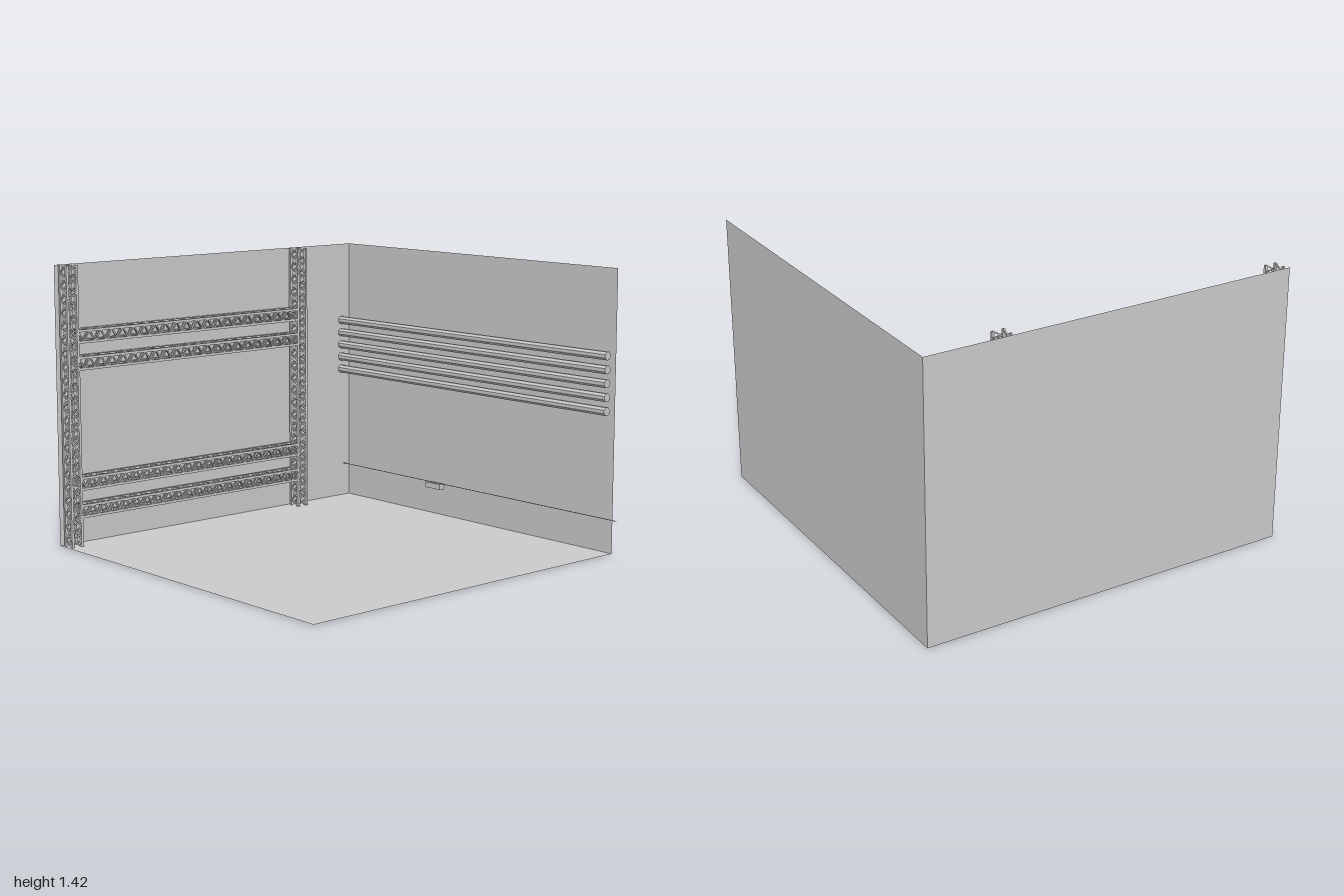
import * as THREE from 'three';
import { mergeGeometries } from 'three/addons/utils/BufferGeometryUtils.js';

const W0 = -1, W1 = 0.94, D = 0.97, H = 1.41;
const TRUSS_X = -0.951, HALF = 0.028, CHORD = 0.013, BRACE = 0.007;

const mat = new THREE.MeshStandardMaterial({ color: 0xcccccc, flatShading: true });
const sheetMat = new THREE.MeshStandardMaterial({ color: 0xcccccc, side: THREE.DoubleSide });

// Square bar between two points
function bar(a, b, size) {
  const dir = b.clone().sub(a);
  const q = new THREE.Quaternion().setFromUnitVectors(new THREE.Vector3(0, 1, 0), dir.clone().normalize());
  const mid = a.clone().add(b).multiplyScalar(0.5);
  return new THREE.BoxGeometry(size, dir.length(), size).applyQuaternion(q).translate(mid.x, mid.y, mid.z);
}

// Box truss along +y: four chords, with zigzag bracing on each side
function trussGeometry(length, bays) {
  const parts = [];
  const corners = [[-1, -1], [1, -1], [1, 1], [-1, 1]].map(([x, z]) => [x * HALF, z * HALF]);
  const at = ([x, z], y) => new THREE.Vector3(x, y, z);
  const step = length / (bays * 2);
  corners.forEach((c, i) => {
    const next = corners[(i + 1) % 4];
    parts.push(new THREE.BoxGeometry(CHORD, length, CHORD).translate(c[0], length / 2, c[1]));
    for (let k = 0; k < bays * 2; k++) {
      const [from, to] = k % 2 ? [next, c] : [c, next];
      parts.push(bar(at(from, k * step), at(to, (k + 1) * step), BRACE));
    }
  });
  return mergeGeometries(parts);
}

export function createModel() {
  const model = new THREE.Group();
  const add = (name, geometry, x, y, z, material = mat) => {
    const mesh = new THREE.Mesh(geometry, material);
    mesh.name = name;
    mesh.position.set(x, y, z);
    model.add(mesh);
    return mesh;
  };
  const midX = (W0 + W1) / 2, width = W1 - W0;

  // Floor and two walls
  add('floor', new THREE.PlaneGeometry(width, 2 * D).rotateX(-Math.PI / 2), midX, 0, 0, sheetMat);
  add('backWall', new THREE.PlaneGeometry(width, H), midX, H / 2, -D, sheetMat);
  add('sideWall', new THREE.PlaneGeometry(2 * D, H).rotateY(Math.PI / 2), W0, H / 2, 0, sheetMat);

  // Truss frame against the side wall
  const post = trussGeometry(H, 21);
  for (const z of [0.92, -0.557]) add('trussPost', post, TRUSS_X, 0, z);
  const beam = trussGeometry(1.415, 21).rotateX(Math.PI / 2);
  for (const y of [0.177, 0.317, 0.922, 1.056]) add('trussBeam', beam, TRUSS_X, y, -0.525);

  // Row of pipes along the back wall
  const pipe = new THREE.CylinderGeometry(0.022, 0.022, width, 8).rotateY(Math.PI / 8).rotateZ(Math.PI / 2);
  for (let i = 0; i < 5; i++) add('pipe', pipe, midX, 0.717 + i * 0.068, -0.91);

  // Thin cable with a small box hanging from it
  add('cable', new THREE.CylinderGeometry(0.002, 0.002, 2, 6).rotateZ(Math.PI / 2), 0, 0.18, -0.928);
  add('cableBox', new THREE.BoxGeometry(0.107, 0.029, 0.034), -0.265, 0.163, -0.929);

  return model;
}
